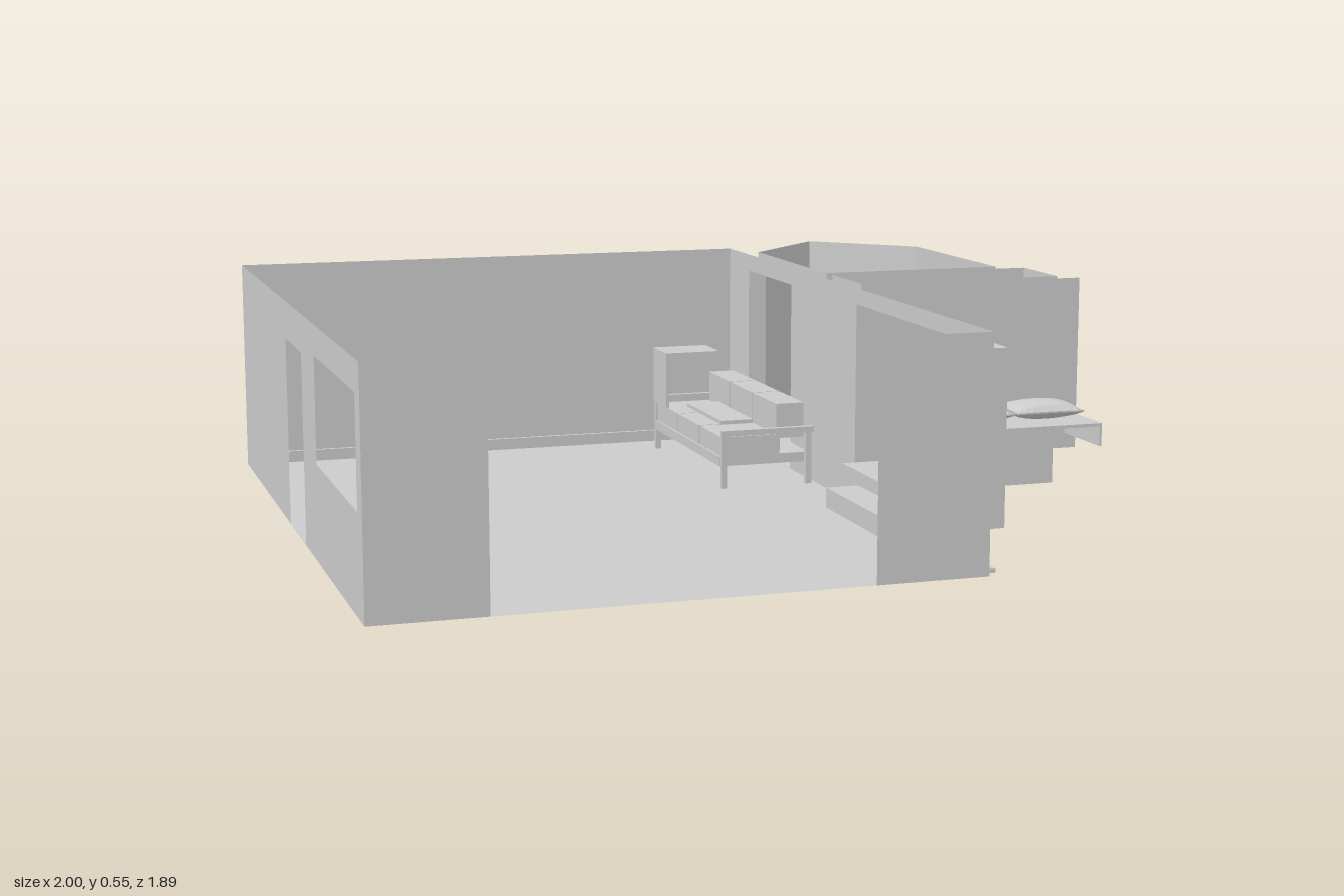
import * as THREE from 'three';

const mat = new THREE.MeshStandardMaterial({ color: 0xcccccc, side: THREE.DoubleSide, flatShading: true });
const Y0 = 0.01, Y1 = 0.55;

export function createModel() {
  const root = new THREE.Group();
  let parent = root;

  const section = (name) => {
    parent = new THREE.Group();
    parent.name = name;
    root.add(parent);
  };
  const add = (name, geometry) => {
    const m = new THREE.Mesh(geometry, mat);
    m.name = name;
    parent.add(m);
    return m;
  };
  // Box given by its limits on each axis
  const box = (name, x0, x1, y0, y1, z0, z1) =>
    add(name, new THREE.BoxGeometry(x1 - x0, y1 - y0, z1 - z0))
      .position.set((x0 + x1) / 2, (y0 + y1) / 2, (z0 + z1) / 2);
  const rect = (path, a, b, y0, y1) => {
    path.moveTo(a, y0); path.lineTo(b, y0); path.lineTo(b, y1); path.lineTo(a, y1); path.closePath();
    return path;
  };
  // Thin upright wall between two [x, z] points; holes are [start, end, bottom, top] along it
  const wall = (name, a, b, holes = [], y0 = Y0, y1 = Y1) => {
    const dx = b[0] - a[0], dz = b[1] - a[1];
    const s = rect(new THREE.Shape(), 0, Math.hypot(dx, dz), y0, y1);
    for (const h of holes) s.holes.push(rect(new THREE.Path(), ...h));
    const m = add(name, new THREE.ShapeGeometry(s));
    m.position.set(a[0], 0, a[1]);
    m.rotation.y = -Math.atan2(dz, dx);
  };
  // Thin level sheet outlined by [x, z] points
  const sheet = (name, pts, y) => {
    const s = new THREE.Shape(pts.map(([x, z]) => new THREE.Vector2(x, -z)));
    const m = add(name, new THREE.ShapeGeometry(s));
    m.rotation.x = -Math.PI / 2;
    m.position.y = y;
  };
  const corners = (x0, x1, z0, z1) => [[x0, z0], [x1, z0], [x1, z1], [x0, z1]];
  // Four-sided lining of an opening, open along x or along z
  const lining = (name, x0, x1, y0, y1, z0, z1, alongX) => {
    sheet(name + 'Bottom', corners(x0, x1, z0, z1), y0);
    sheet(name + 'Top', corners(x0, x1, z0, z1), y1);
    const sides = alongX ? [[[x0, z0], [x1, z0]], [[x0, z1], [x1, z1]]]
      : [[[x0, z0], [x0, z1]], [[x1, z0], [x1, z1]]];
    for (const [a, b] of sides) wall(name + 'Side', a, b, [], y0, y1);
  };

  // Main room, open at the top and across the middle of the front
  const L = -1, R = 0.375, B = -0.825, F = 0.945;
  section('mainRoom');
  sheet('floor', corners(L, R, B, F), Y0);
  wall('backWall', [L, B], [R, B]);
  wall('leftFrontWall', [0.11, F], [R, F]);
  wall('rightFrontWall', [L, F], [-0.74, F]);
  wall('windowAndDoorWall', [L, F], [L, B],
    [[F - 0.89, F - 0.375, 0.235, 0.48], [F - 0.19, F + 0.05, Y0 + 0.001, 0.46]]);
  wall('wideWindowWall', [R, F], [R, B],
    [[F - 0.92, F - 0.145, 0.11, 0.51], [F + 0.32, F + 0.66, Y0 + 0.001, 0.505]]);
  box('skirting', L, R, Y0, 0.04, B, B + 0.01);

  // Wide window with its deep lining and stepped ledge
  section('wideWindow');
  lining('windowLining', R, 0.42, 0.11, 0.51, 0.145, 0.92, true);
  box('ledgeBase', 0.29, 0.42, 0, Y0, 0.18, 0.88);
  box('ledgeStep', 0.29, R, Y0, 0.06, 0.17, 0.88);
  box('ledgeTop', 0.32, 0.42, 0.11, 0.125, 0.2, 0.85);

  // Passages to the side rooms
  section('passages');
  lining('sidePassage', R, 0.425, Y0, 0.505, -0.66, -0.32, true);
  lining('frontPassage', 0.53, 0.81, Y0, 0.485, -0.18, -0.135, false);

  // Side room with a pointed end
  section('pointedRoom');
  const outline = [[0.42, -0.18], [0.42, -0.71], [0.66, -0.945], [0.9, -0.71], [0.9, -0.18]];
  sheet('floor', outline, Y0);
  const openings = [[[0.14, 0.48, Y0 + 0.001, 0.505]], [], [], [], [[0.09, 0.37, Y0 + 0.001, 0.485]]];
  outline.forEach((p, i) => wall('wall', p, outline[(i + 1) % 5], openings[i]));
  wall('slantedPanel', [0.672, -0.945], [0.895, -0.727], [], 0.02, 0.5);

  // Small front room
  section('smallRoom');
  const small = corners(0.42, 0.96, -0.135, 0.065);
  sheet('floor', small, Y0);
  small.forEach((p, i) => wall('wall', p, small[(i + 1) % 4],
    i === 0 ? [[0.11, 0.39, Y0 + 0.001, 0.485]] : []));

  // Outdoor bench hung on a thin panel, with two pillows
  section('bench');
  wall('benchPanel', [0.42, 0.11], [1, 0.11], [], 0.11);
  box('benchTop', 0.548, 0.972, 0.2, 0.208, 0.115, 0.308);
  box('benchRightEnd', 0.548, 0.554, 0.15, 0.2, 0.115, 0.308);
  box('benchLeftEnd', 0.966, 0.972, 0.15, 0.2, 0.115, 0.308);
  for (const x of [0.67, 0.86]) {
    const g = new THREE.BoxGeometry(2, 2, 2, 10, 1, 10);
    const p = g.attributes.position;
    for (let i = 0; i < p.count; i++) {
      const u = p.getX(i), v = p.getZ(i);
      const puff = 0.08 + 0.92 * Math.pow((1 - u * u) * (1 - v * v), 0.45);
      p.setXYZ(i, u * (1 - 0.06 * (1 - v * v)), p.getY(i) * puff, v * (1 - 0.06 * (1 - u * u)));
    }
    g.scale(0.092, 0.024, 0.067);
    g.computeVertexNormals();
    add('pillow', g).position.set(x, 0.231, 0.184);
  }

  // Sofa beside the passage, with three seats and a tray
  section('sofa');
  box('sofaBase', 0.115, 0.36, 0.065, 0.09, -0.7, -0.14);
  for (const z of [-0.715, -0.135]) {
    box('armTop', 0.115, 0.365, 0.145, 0.16, z, z + 0.015);
    for (const x of [0.115, 0.345]) box('armPost', x, x + 0.015, Y0, 0.145, z, z + 0.015);
  }
  for (let i = 0; i < 3; i++) {
    const z = -0.7 + i * 0.188;
    box('seatCushion', 0.12, 0.28, 0.09, 0.14, z, z + 0.183);
    box('backCushion', 0.27, 0.345, 0.13, 0.22, z, z + 0.183);
  }
  box('trayTop', 0.1, 0.25, 0.29, 0.3, -0.675, -0.555);
  box('traySide', 0.1, 0.108, 0.15, 0.3, -0.675, -0.555);
  box('trayShelf', 0.16, 0.25, 0.15, 0.16, -0.555, -0.265);
  return root;
}
